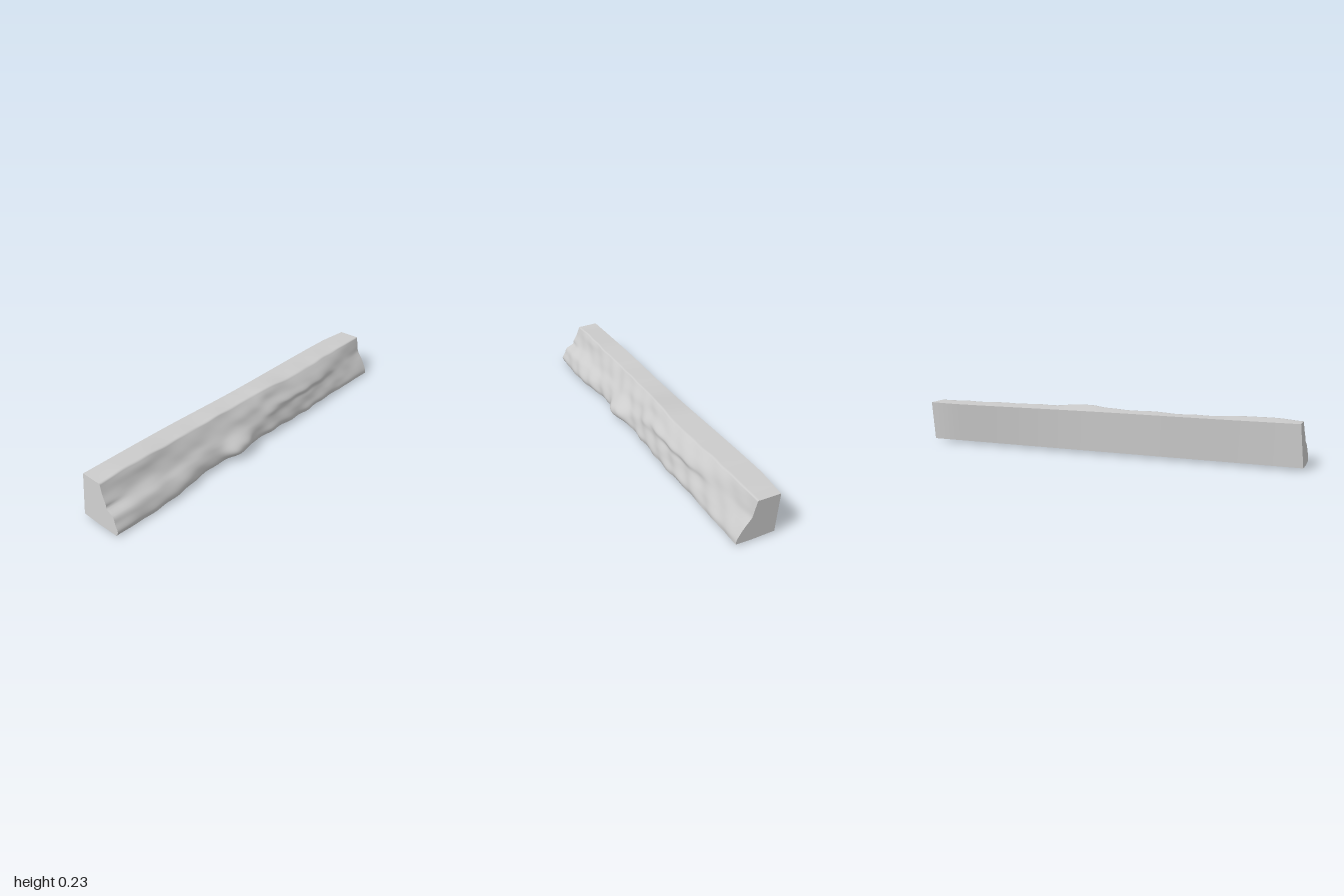
import * as THREE from 'three';

// Rock face cross-sections: z, bottom y, top y, then x at each height in ROWS
const ROWS = [0, 0.1, 0.25, 0.4, 0.5, 0.6, 0.75, 0.9, 1];
const SECTIONS = [
  [1, 0.002, 0.215, 0.107, 0.116, 0.1, 0.085, 0.045, 0.04, 0.022, 0.01, 0.003],
  [0.8, 0.008, 0.225, 0.115, 0.119, 0.11, 0.092, 0.064, 0.042, 0.025, 0.014, 0.002],
  [0.6, 0.012, 0.218, 0.108, 0.114, 0.103, 0.08, 0.055, 0.04, 0.024, 0.01, 0],
  [0.42, 0.016, 0.215, 0.082, 0.09, 0.085, 0.07, 0.058, 0.043, 0.026, 0.008, -0.005],
  [0.3, 0.018, 0.218, 0.084, 0.09, 0.087, 0.072, 0.058, 0.044, 0.026, 0.008, -0.003],
  [0, 0.02, 0.222, 0.086, 0.092, 0.085, 0.075, 0.065, 0.055, 0.04, 0.018, 0.003],
  [-0.1, 0.02, 0.233, 0.09, 0.095, 0.088, 0.078, 0.075, 0.065, 0.042, 0.026, 0.012],
  [-0.3, 0.016, 0.22, 0.095, 0.099, 0.09, 0.08, 0.074, 0.077, 0.053, 0.033, 0.018],
  [-0.5, 0.016, 0.218, 0.091, 0.095, 0.085, 0.074, 0.067, 0.07, 0.055, 0.03, 0.012],
  [-0.7, 0.015, 0.217, 0.089, 0.09, 0.078, 0.062, 0.054, 0.048, 0.035, 0.018, 0.004],
  [-1, 0.008, 0.215, 0.085, 0.083, 0.068, 0.049, 0.033, 0.019, 0.012, 0.005, 0],
];
const LENGTH_STEPS = 160, FACE_STEPS = 32;

// Smooth cubic through increasing keys
function cubic(keys, vals, t) {
  let i = 0;
  while (i < keys.length - 2 && t > keys[i + 1]) i++;
  const slope = (k) => {
    const a = Math.max(k - 1, 0), b = Math.min(k + 1, keys.length - 1);
    return (vals[b] - vals[a]) / (keys[b] - keys[a]);
  };
  const h = keys[i + 1] - keys[i], s = (t - keys[i]) / h, s2 = s * s, s3 = s2 * s;
  return (2 * s3 - 3 * s2 + 1) * vals[i] + (s3 - 2 * s2 + s) * h * slope(i)
    + (3 * s2 - 2 * s3) * vals[i + 1] + (s3 - s2) * h * slope(i + 1);
}

const Z_KEYS = SECTIONS.map((s) => -s[0]);
const column = (c, z) => cubic(Z_KEYS, SECTIONS.map((s) => s[c]), -z);

// One section, counter-clockwise seen from the front
function sectionAt(z) {
  const inner = 1 - z ** 8;
  const y0 = column(1, z) + inner * 0.002 * Math.sin(z * 37);
  const y1 = column(2, z) + inner * 0.0015 * Math.sin(z * 29 + 1);
  const xs = ROWS.map((_, k) => column(k + 3, z));
  // the ends lean slightly
  const place = (x, y) => {
    const lean = z > 0 ? -0.02 * z ** 8 * (y / 0.215) : 0.014 * z ** 8 * (1 - y / 0.215);
    return new THREE.Vector3(x, y, z + lean);
  };
  const face = [];
  for (let i = 0; i <= FACE_STEPS; i++) {
    const t = i / FACE_STEPS, y = y0 + (y1 - y0) * t;
    // rounded boulder and weathering
    const d2 = ((z - 0.18) / 0.085) ** 2 + ((y - 0.06) / 0.05) ** 2;
    const bulge = 0.039 * Math.exp(-(d2 ** 1.5));
    const rough = 0.003 * Math.sin(z * 27 + y * 30) * Math.sin(z * 11 - y * 40 + 1)
      + 0.0025 * Math.sin(z * 43 - y * 55);
    face.push(place(cubic(ROWS, xs, t) + bulge + rough * inner * (1 - 0.6 * t), y));
  }
  const backTop = place(cubic([-1, -0.5, 0, 0.8, 1], [-0.107, -0.115, -0.111, -0.127, -0.112], -z),
    cubic([-1, 0, 1], [0.22, 0.219, 0.216], -z));
  const backBottom = place(-0.107, 0.014);
  const topAt = (f) => face[FACE_STEPS].clone().lerp(backTop, f);
  return {
    rock: [...face, topAt(0.08), topAt(0.25), topAt(0.6), backTop],
    backWall: [backTop, backBottom],
    endFoot: [backBottom, place(0, 0.004 + y0 * 0.5), face[0]],
  };
}

// Skin a list of point rows running from front to back
function skin(rows) {
  const n = rows[0].length, index = [];
  for (let v = 0; v < rows.length - 1; v++) {
    for (let u = 0; u < n - 1; u++) {
      const a = v * n + u, b = a + n;
      index.push(a, b, a + 1, b, b + 1, a + 1);
    }
  }
  const geo = new THREE.BufferGeometry().setFromPoints(rows.flat());
  geo.setIndex(index);
  geo.computeVertexNormals();
  return geo;
}

// Fill one end section
function endCap(section, flip) {
  const loop = Object.values(section).flatMap((side) => side.slice(0, -1));
  const tris = THREE.ShapeUtils.triangulateShape(loop.map((p) => new THREE.Vector2(p.x, p.y)), []);
  const geo = new THREE.BufferGeometry().setFromPoints(loop);
  geo.setIndex(tris.flatMap(([a, b, c]) => (flip ? [a, c, b] : [a, b, c])));
  geo.computeVertexNormals();
  return geo;
}

export function createModel() {
  const group = new THREE.Group();
  group.name = 'rockLedge';
  // hollow shell, open underneath
  const material = new THREE.MeshStandardMaterial({ color: 0xcccccc, side: THREE.DoubleSide });
  const add = (name, geo) => {
    const mesh = new THREE.Mesh(geo, material);
    mesh.name = name;
    group.add(mesh);
  };
  const sections = [];
  for (let i = 0; i <= LENGTH_STEPS; i++) sections.push(sectionAt(1 - (2 * i) / LENGTH_STEPS));

  // weathered face running smoothly into the top, and the flat wall behind
  add('rockFaceAndTop', skin(sections.map((s) => s.rock)));
  add('backWall', skin(sections.map((s) => s.backWall)));
  // ends
  add('frontEnd', endCap(sections[0], false));
  add('backEnd', endCap(sections[LENGTH_STEPS], true));
  return group;
}
